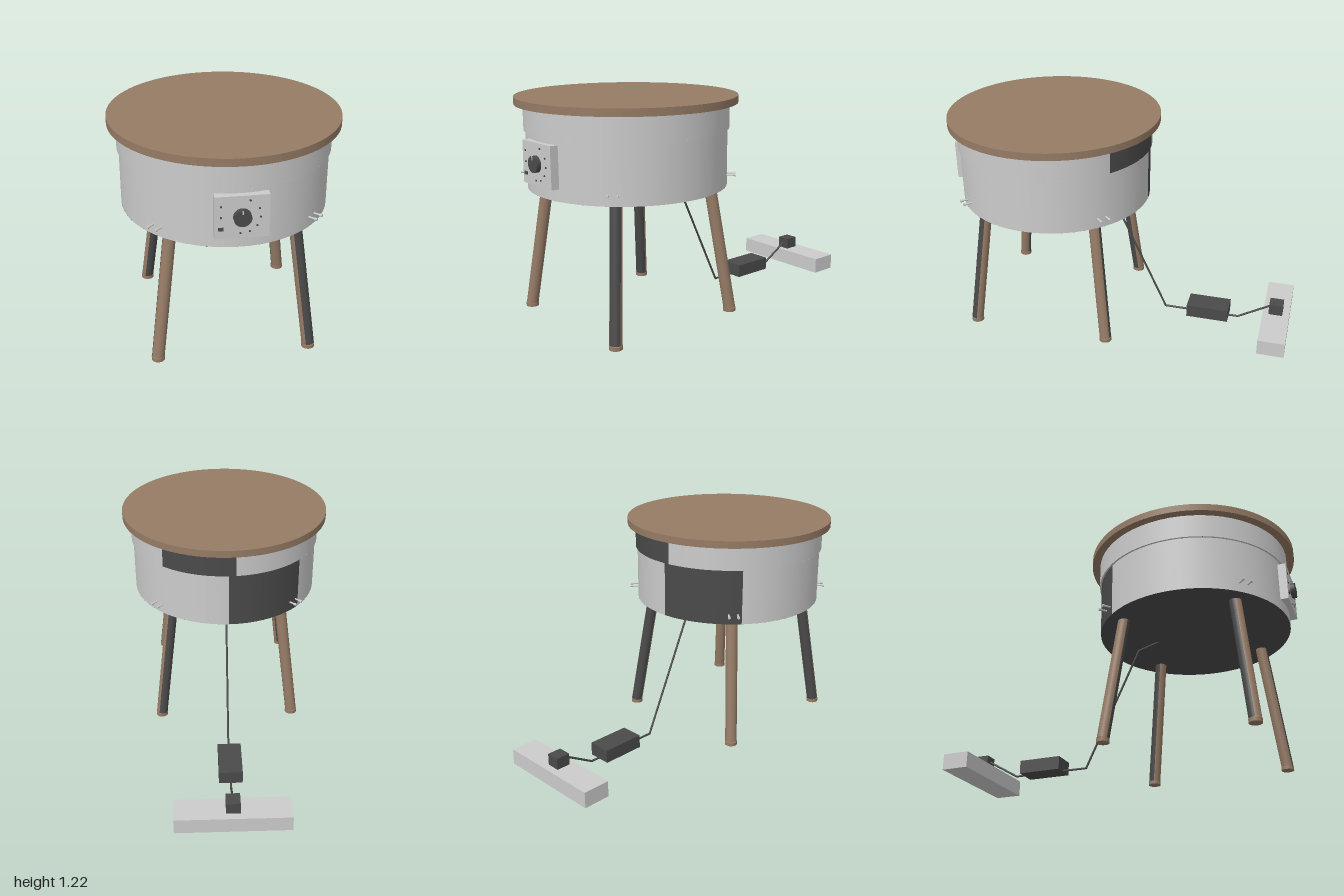
import * as THREE from 'three';

const mat = (color) => new THREE.MeshStandardMaterial({ color, side: THREE.DoubleSide });
const GREY = mat(0xcccccc), DARK = mat(0x4a4a4a), BROWN = mat(0x957b65);
const RAD = Math.PI / 180;

export function createModel() {
  const model = new THREE.Group();
  const CZ = 0.405; // centre of the round body

  const add = (parent, name, geometry, material, x = 0, y = 0, z = 0) => {
    const mesh = new THREE.Mesh(geometry, material);
    mesh.name = name;
    mesh.position.set(x, y, z);
    parent.add(mesh);
    return mesh;
  };
  const box = (parent, name, material, w, h, d, x, y, z) =>
    add(parent, name, new THREE.BoxGeometry(w, h, d), material, x, y, z);

  // Wall of a round tube, with one darker sector between two angles (degrees from +z)
  const splitWall = (parent, name, r, h, y, from, to, base) => {
    const arc = (a, b) => new THREE.CylinderGeometry(r, r, h, Math.ceil((b - a) / 6), 1, true, a * RAD, (b - a) * RAD);
    add(parent, name, arc(to, from + 360), base, 0, y, 0);
    add(parent, name + 'DarkSector', arc(from, to), DARK, 0, y, 0);
  };

  // Straight round rod between two points
  const rod = (parent, name, material, a, b, r, sides = 10) => {
    const dir = b.clone().sub(a);
    const mesh = add(parent, name, new THREE.CylinderGeometry(r, r, dir.length(), sides), material);
    mesh.position.copy(a).lerp(b, 0.5);
    mesh.quaternion.setFromUnitVectors(new THREE.Vector3(0, 1, 0), dir.normalize());
    return mesh;
  };

  // Body: lid, upper band, lower drum and underside
  const body = new THREE.Group();
  body.name = 'body';
  body.position.z = CZ;
  model.add(body);
  add(body, 'lid', new THREE.CylinderGeometry(0.595, 0.595, 0.04, 72), BROWN, 0, 1.195, 0);
  splitWall(body, 'upperBand', 0.55, 0.135, 1.1075, 140, 185, GREY);
  splitWall(body, 'lowerDrum', 0.54, 0.31, 0.885, 181, 230, GREY);
  const ring = add(body, 'bandUnderside', new THREE.RingGeometry(0.535, 0.55, 64), GREY, 0, 1.04, 0);
  ring.rotation.x = Math.PI / 2;
  const base = add(body, 'underside', new THREE.CircleGeometry(0.54, 64), DARK, 0, 0.73, 0);
  base.rotation.x = Math.PI / 2;

  // Four splayed legs with feet, and a pair of pegs on the drum above each
  for (const sx of [-1, 1]) for (const sz of [-1, 1]) {
    const leg = new THREE.Group();
    leg.name = 'leg';
    const foot = new THREE.Vector3(sx * 0.399, 0.02, sz * 0.396);
    const top = new THREE.Vector3(sx * 0.313, 0.74, sz * 0.314);
    const dir = top.clone().sub(foot);
    leg.position.copy(foot).lerp(top, 0.5);
    leg.quaternion.setFromUnitVectors(new THREE.Vector3(0, 1, 0), dir.clone().normalize());
    const start = sx === sz ? -30 : 150;
    splitWall(leg, 'legTube', 0.033, dir.length(), 0, start, start + 130, BROWN);
    body.add(leg);
    add(body, 'foot', new THREE.CylinderGeometry(0.035, 0.035, 0.02, 24), BROWN, foot.x, 0.01, foot.z);

    const out = new THREE.Vector3(sx, 0, sz).normalize();
    const side = new THREE.Vector3(sz, 0, -sx).normalize();
    for (const s of [-1, 1]) {
      const at = (r) => out.clone().multiplyScalar(r).addScaledVector(side, s * 0.025).setY(0.785);
      rod(body, 'peg', GREY, at(0.52), at(0.575), 0.005);
      rod(body, 'pegHead', GREY, at(0.572), at(0.586), 0.008);
    }
  }

  // Control panel with knob, scale dots and switch
  const panel = new THREE.Group();
  panel.name = 'controlPanel';
  panel.position.set(0, 0.905, 0.973);
  model.add(panel);
  box(panel, 'panelPlate', GREY, 0.26, 0.22, 0.055, 0, 0, -0.0275);
  const knob = add(panel, 'knob', new THREE.CylinderGeometry(0.043, 0.043, 0.024, 32), DARK, 0, 0.003, 0.012);
  knob.rotation.x = Math.PI / 2;
  box(panel, 'knobPointer', GREY, 0.006, 0.02, 0.006, 0, 0.035, 0.024);
  box(panel, 'switch', DARK, 0.025, 0.016, 0.008, -0.1, -0.057, 0.002);
  for (const [x, y] of [[-0.1, 0.06], [-0.1, 0.003], [0.037, 0.085], [0.081, 0.042],
    [0.087, -0.003], [0.072, -0.047], [0.037, -0.076], [-0.008, -0.083]]) {
    const dot = add(panel, 'scaleDot', new THREE.CylinderGeometry(0.005, 0.005, 0.006, 12), DARK, x, y, 0.001);
    dot.rotation.x = Math.PI / 2;
  }

  // Power cord with joints, inline box, plug and socket strip
  const path = [[0.735, 0.2], [0.695, 0.06], [0.017, -0.26], [0.017, -0.7], [0.125, -0.885]]
    .map(([y, z]) => new THREE.Vector3(0, y, z));
  path.forEach((p, i) => {
    if (i) rod(model, 'cord', DARK, path[i - 1], p, 0.006);
    if (i && i < path.length - 1) add(model, 'cordJoint', new THREE.SphereGeometry(0.006, 10, 8), DARK, p.x, p.y, p.z);
  });
  box(model, 'powerAdapter', DARK, 0.132, 0.075, 0.245, 0, 0.0475, -0.5225);
  box(model, 'plug', DARK, 0.076, 0.065, 0.08, 0, 0.1225, -0.92);
  box(model, 'socketStrip', GREY, 0.62, 0.09, 0.153, 0, 0.045, -0.9235);

  return model;
}
